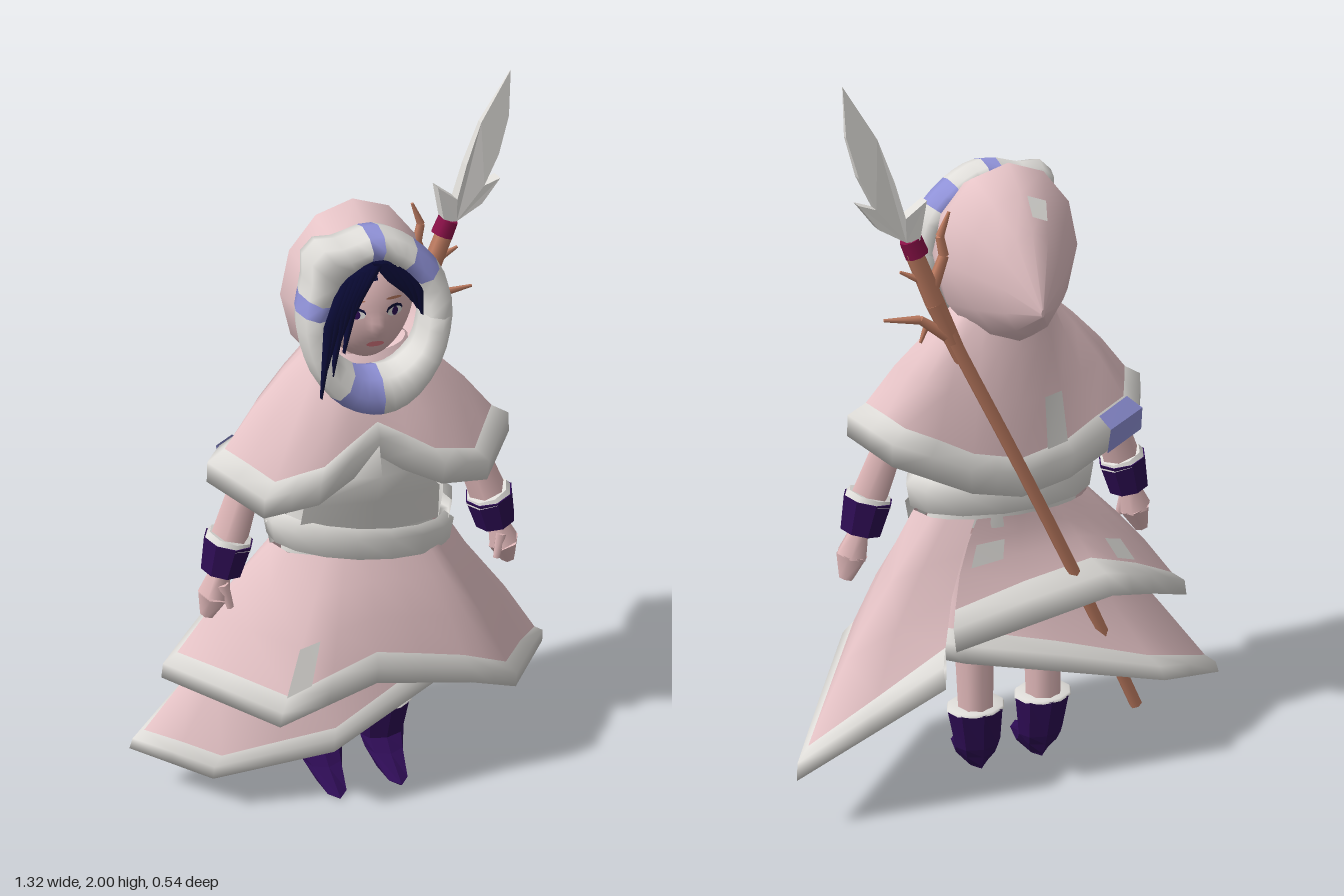
import * as THREE from 'three';

const V = (x, y, z) => new THREE.Vector3(x, y, z);
const mat = (name, color, flatShading = false) => {
  const m = new THREE.MeshStandardMaterial({ color, side: THREE.DoubleSide, flatShading });
  m.name = name;
  return m;
};

export function createModel() {
  const pink = mat('pink cloth', 0xe5c3c6), white = mat('white fur', 0xdfddd9);
  const blue = mat('blue patch', 0x9092d8), skin = mat('skin', 0xdfb7b8);
  const navy = mat('navy hair', 0x0a0b36), purple = mat('purple leather', 0x2d0c53, true);
  const wood = mat('wood', 0xc07d62), magenta = mat('magenta binding', 0x8a1148);
  const lip = mat('lips', 0xb8636b);
  const model = new THREE.Group();
  model.name = 'hoodedTraveller';

  const add = (name, geo, m, parent = model) => {
    const mesh = new THREE.Mesh(geo, m);
    mesh.name = name;
    parent.add(mesh);
    return mesh;
  };
  // Surface through rows of points
  const loft = (rows, closed = false) => {
    const n = rows[0].length, pos = [], idx = [];
    rows.forEach(r => r.forEach(p => pos.push(p.x, p.y, p.z)));
    for (let j = 0; j < rows.length - 1; j++)
      for (let i = 0; i < (closed ? n : n - 1); i++) {
        const a = j * n + i, b = j * n + (i + 1) % n;
        idx.push(a, a + n, b, b, a + n, b + n);
      }
    const g = new THREE.BufferGeometry();
    g.setAttribute('position', new THREE.Float32BufferAttribute(pos, 3));
    g.setIndex(idx);
    g.computeVertexNormals();
    return g;
  };
  const ring = (y, rx, rz, cx = 0, cz = 0, n = 10) => Array.from({ length: n }, (_, i) => {
    const a = i / n * Math.PI * 2;
    return V(cx + rx * Math.cos(a), y, cz + rz * Math.sin(a));
  });
  const limb = (name, a, b, ra, rb, m, sides = 6, parent = model) => {
    const d = b.clone().sub(a);
    const mesh = add(name, new THREE.CylinderGeometry(rb, ra, d.length(), sides), m, parent);
    mesh.position.copy(a).addScaledVector(d, 0.5);
    mesh.quaternion.setFromUnitVectors(V(0, 1, 0), d.normalize());
  };
  // Thin cloth patch inside one cell of a surface
  const patch = (name, rows, j, i, m, u0 = 0.1, u1 = 0.9, v0 = 0.1, v1 = 0.9) => {
    const n = rows[0].length;
    const at = (u, v) => {
      const p = rows[j][i].clone().lerp(rows[j][(i + 1) % n], u)
        .lerp(rows[j + 1][i].clone().lerp(rows[j + 1][(i + 1) % n], u), v);
      return p.addScaledVector(V(p.x, 0, p.z).normalize(), 0.009);
    };
    add(name, loft([[at(u0, v0), at(u1, v0)], [at(u0, v1), at(u1, v1)]]), m);
  };
  // Draped garment from an oval top edge down to a free hem, with a padded border
  const drape = (name, hem, top, closed, trimLen, pad, front, back) => {
    const H = [];
    hem.forEach((p, i) => {
      const a = V(...p), next = hem[i + 1] || (closed ? hem[0] : null);
      H.push(a);
      if (next) H.push(a.clone().lerp(V(...next), 0.5));
    });
    const W = H.map(h => {
      const a = Math.atan2(h.z / top.rz, h.x / top.rx);
      return V(top.rx * Math.cos(a), top.y, top.z + top.rz * Math.sin(a));
    });
    const at = (i, t) => {
      const p = W[i].clone().lerp(H[i], t), k = t * (1 - t);
      return V(p.x * (1 + k * front * 0.3), p.y + k * front * 0.1, p.z * (1 + k * (p.z > 0 ? front : back)));
    };
    const start = i => 1 - trimLen / W[i].distanceTo(H[i]);
    const rows = [0, 0.3, 0.65, 1].map(t => H.map((_, i) => at(i, t * start(i))));
    add(name, loft(rows, closed), pink);
    const out = (i, s) => {
      const p = at(i, (1 + start(i)) / 2);
      return p.addScaledVector(V(p.x * 0.6, 0.15, p.z).normalize(), s * pad);
    };
    const t = [H.map((_, i) => at(i, start(i))), H.map((_, i) => out(i, 1)), H, H.map((_, i) => out(i, -1))];
    add(name + 'Trim', loft([...t, t[0]], closed), white);
    return { rows, t };
  };

  // Layered skirts
  const over = drape('overSkirt', [[0.26, 0.4, -0.245], [0.655, 0.17, -0.17], [0.4, 0.32, 0.21], [0.25, 0.39, 0.24],
    [-0.03, 0.46, 0.25], [-0.31, 0.39, 0.265], [-0.565, 0.42, -0.02], [-0.4, 0.51, -0.14], [-0.23, 0.575, -0.225],
    [0.22, 0.49, -0.22]], { y: 0.81, rx: 0.25, rz: 0.13, z: 0.01 }, false, 0.092, 0.018, 0.45, -0.95);
  drape('underSkirt', [[0.38, 0.37, 0.08], [0.2, 0.37, 0.16], [-0.13, 0.2, 0.18], [-0.46, 0.13, 0.1],
    [-0.66, 0.17, -0.06], [-0.39, 0.29, -0.24], [0.2, 0.46, -0.235], [0.32, 0.45, -0.1]],
    { y: 0.76, rx: 0.21, rz: 0.1, z: 0 }, false, 0.075, 0.012, 0.1, -0.9);
  patch('skirtPatch', over.rows, 2, 9, white, 0.45, 1, 0, 1);
  patch('skirtPatch', over.rows, 1, 17, white, 0.3, 0.8);
  patch('skirtPatch', over.rows, 2, 14, white);

  // Torso, front panel and crossed belt
  add('torso', loft([ring(0.78, 0.22, 0.12), ring(0.95, 0.19, 0.12), ring(1.1, 0.19, 0.12), ring(1.25, 0.1, 0.08)], true), white);
  const panel = (y, z, w) => [V(-w, y - 0.01, z - 0.045), V(0, y, z), V(w, y - 0.01, z - 0.045)];
  add('frontPanel', loft([panel(1.185, 0.165, 0.004), panel(1.07, 0.198, 0.12), panel(0.98, 0.165, 0.19), panel(0.86, 0.135, 0.2)]), white);
  const belt = (a0, a1, cy) => {
    const row = (dy, k) => Array.from({ length: 9 }, (_, i) => {
      const a = a0 + (a1 - a0) * i / 8, x = 0.255 * Math.cos(a);
      return V(x * k, cy(x) + dy, (0.145 * Math.sin(a)) * k + 0.015);
    });
    const r = [row(0.045, 0.95), row(0.02, 1.06), row(-0.045, 1.02), row(-0.045, 0.9)];
    add('belt', loft([...r, r[0]]), white);
  };
  belt(0.3, Math.PI + 0.1, x => 0.842 - 0.17 * x);
  belt(Math.PI - 0.1, Math.PI * 2 + 0.45, () => 0.87);

  // Shoulder cape
  const half = [[0.17, 1.015, 0.19], [0.31, 0.985, 0.16], [0.425, 1.045, 0.03], [0.35, 1.0, -0.11], [0.14, 0.9, -0.135]];
  const cape = drape('cape', [[0, 1.1, 0.16], ...half, [0, 0.87, -0.14],
    ...half.slice().reverse().map(([x, y, z]) => [-x, y, z])],
    { y: 1.38, rx: 0.13, rz: 0.1, z: -0.01 }, true, 0.1, 0.025, 0.7, 0.2);
  patch('capePatch', cape.rows, 2, 13, white, 0, 0.9, 0, 1);
  patch('capeTrimPatch', cape.t, 0, 15, blue, 0, 1, 0, 1);
  patch('capeTrimPatch', cape.t, 1, 15, blue, 0, 1, 0, 1);

  // Pointed hood: [z, half width, bottom, top]
  const hood = [[0.1, 0.16, 1.31, 1.69], [-0.04, 0.195, 1.28, 1.75], [-0.12, 0.14, 1.3, 1.69],
    [-0.2, 0.085, 1.34, 1.61], [-0.27, 0.004, 1.41, 1.43]].map(([z, rx, b, t]) => Array.from({ length: 12 }, (_, i) => {
    const a = i / 12 * Math.PI * 2;
    return V(rx * Math.cos(a), (b + t) / 2 + (t - b) / 2 * Math.sin(a), z);
  }));
  add('hood', loft(hood, true), pink);
  patch('hoodPatch', hood, 2, 3, white, 0.2, 0.9, 0, 0.55);

  // Fur ring around the face, raised into a tuft at one side and deeper under the chin
  const SEG = 32;
  const furRow = i => {
    const a = i / SEG * Math.PI * 2, c = Math.cos(a), s = Math.sin(a);
    const low = Math.max(0, -s - 0.5), tuft = Math.exp(-(((a - 2.3) / 0.22) ** 2));
    return Array.from({ length: 8 }, (_, j) => {
      const b = j / 8 * Math.PI * 2, cb = Math.cos(b);
      const r = cb * (0.041 + 0.05 * low + 0.012 * tuft) + 0.04 * tuft * (cb > 0 ? 1 : 0.4) + 0.004 * Math.sin(a * 5);
      const y = 1.495 + (0.192 + r) * s;
      return V((0.163 + r) * c * (1 - 0.45 * low), y, 0.1 + (1.7 - y) * 0.13 + 0.07 * Math.sin(b));
    });
  };
  const runs = [[0, 3, 0], [3, 5, 1], [5, 7.5, 0], [7.5, 8.5, 1], [8.5, 14, 0], [14, 15, 1], [15, 20.5, 0], [20.5, 24, 1], [24, 32, 0]];
  runs.forEach(([a, b, c]) => {
    const rows = [], n = Math.ceil(b - a);
    for (let k = 0; k <= n; k++) rows.push(furRow(a + (b - a) * k / n));
    add('hoodTrim', loft(rows, true), c ? blue : white);
  });

  // Face with a tapered chin and a small raised nose
  const faceZ = (x, y) => 0.05 + 0.11 * Math.sqrt(Math.max(0, 1 - (x / 0.125) ** 2 - ((y - 1.51) / 0.15) ** 2));
  const face = new THREE.SphereGeometry(1, 44, 30).scale(0.125, 0.15, 0.11);
  const fp = face.attributes.position;
  for (let i = 0; i < fp.count; i++) {
    const x = fp.getX(i), y = fp.getY(i), z = fp.getZ(i);
    if (y < 0) fp.setX(i, x * (1 + y * 1.2));
    if (z > 0) fp.setZ(i, z + 0.016 * Math.exp(-((x / 0.014) ** 2) - ((y + 0.032) / 0.025) ** 2));
  }
  face.translate(0, 1.51, 0.05);
  face.computeVertexNormals();
  add('face', face, skin);
  limb('neck', V(0, 1.25, 0), V(0, 1.42, 0.03), 0.055, 0.05, skin, 8);
  const mark = (name, x, y, w, h, m, lift, tilt = 0) => {
    const p = add(name, new THREE.CircleGeometry(1, 10), m);
    p.scale.set(w, h, 1);
    p.position.set(x, y, faceZ(x, y) + lift);
    p.rotation.set(0, x * 8, tilt);
  };
  [-1, 1].forEach(s => {
    const x = s * 0.05 - 0.006;
    mark('eyeLash', x, 1.525, 0.026, 0.015, navy, 0.003);
    mark('eyeWhite', x, 1.521, 0.024, 0.012, white, 0.005);
    mark('iris', x, 1.522, 0.01, 0.012, purple, 0.007);
    mark('eyebrow', x, 1.555, 0.026, 0.004, wood, 0.005, s * -0.1);
  });
  mark('mouth', -0.004, 1.432, 0.024, 0.007, lip, 0.004);

  // Hair: scalp and parted locks, the long side falling over the fur
  add('scalp', new THREE.SphereGeometry(1, 16, 8, 0, Math.PI * 2, 0, 0.95).scale(0.135, 0.155, 0.115).translate(0, 1.51, 0.045), navy);
  const lock = (root, mid, tip, w) => {
    const e = [[root, w], [mid, w * 0.85], [tip, 0.003]];
    add('hairLock', loft(e.map(([p, k]) => [V(p[0] - k, p[1], p[2]), V(p[0], p[1], p[2] + 0.012), V(p[0] + k, p[1] - k * 0.3, p[2])])), navy);
  };
  for (let i = 0; i < 6; i++) {
    const f = i / 5;
    lock([-0.005 - f * 0.075, 1.65 - f * 0.03, 0.15], [-0.055 - f * 0.085, 1.58 - f * 0.06, 0.17 + f * 0.025],
      [-0.085 - f * 0.085, 1.52 - f * 0.13 - (i % 2) * 0.05, 0.185 + f * 0.03], 0.018);
  }
  for (let i = 0; i < 4; i++)
    lock([0.01 + i * 0.02, 1.65 - i * 0.007, 0.14], [0.045 + i * 0.02, 1.6 - i * 0.008, 0.15], [0.085 + i * 0.012, 1.55 - i * 0.018, 0.145], 0.021);

  // Arms, cuffs, hands, legs and boots
  [-1, 1].forEach(s => {
    const P = (x, y, z) => V(s * x, y, z);
    const arm = new THREE.Group();
    arm.name = s > 0 ? 'leftArm' : 'rightArm';
    model.add(arm);
    limb('sleeve', P(0.26, 1.16, 0), P(0.375, 0.85, 0.03), 0.036, 0.054, skin, 6, arm);
    limb('cuffFur', P(0.366, 0.872, 0.03), P(0.372, 0.855, 0.03), 0.06, 0.068, white, 8, arm);
    limb('cuff', P(0.372, 0.862, 0.03), P(0.395, 0.77, 0.03), 0.069, 0.058, purple, 8, arm);
    limb('palm', P(0.395, 0.78, 0.03), P(0.42, 0.7, 0.035), 0.025, 0.045, skin, 6, arm);
    limb('fingers', P(0.42, 0.7, 0.035), P(0.44, 0.635, 0.03), 0.045, 0.02, skin, 6, arm);
    limb('thumb', P(0.4, 0.74, 0.06), P(0.385, 0.67, 0.07), 0.016, 0.01, skin, 5, arm);

    const cx = s > 0 ? 0.09 : -0.115;
    const leg = new THREE.Group();
    leg.name = s > 0 ? 'leftLeg' : 'rightLeg';
    model.add(leg);
    limb('shin', V(cx, 0.78, 0), V(cx, 0.18, -0.025), 0.07, 0.052, skin, 8, leg);
    // Boot sections: height, back, front, half width
    const boot = [[0.2, -0.09, 0.045, 0.084], [0.08, -0.07, 0.02, 0.068], [0.05, -0.062, 0.06, 0.06],
      [0.012, -0.05, 0.16, 0.04], [0.004, -0.045, 0.15, 0.03], [0.004, 0, 0.01, 0.002]]
      .map(([y, b, f, w]) => ring(y, w, (f - b) / 2, cx - s * (0.2 - y) * 0.05, (f + b) / 2, 8));
    add('boot', loft(boot, true), purple, leg);
    add('bootFur', loft([ring(0.197, 0.086, 0.07, cx, -0.022), ring(0.205, 0.082, 0.066, cx, -0.022), ring(0.208, 0.045, 0.045, cx, -0.022)], true), white, leg);
  });

  // Wooden spear slung across the back
  const spear = new THREE.Group();
  spear.name = 'spear';
  model.add(spear);
  const path = new THREE.CatmullRomCurve3([V(-0.345, 0.18, -0.155), V(-0.15, 0.62, -0.16), V(0.03, 1.0, -0.16), V(0.19, 1.33, -0.15), V(0.255, 1.48, -0.145), V(0.295, 1.58, -0.145)]);
  add('shaft', new THREE.TubeGeometry(path, 24, 0.018, 6), wood, spear);
  [[[0.17, 1.28], [0.24, 1.44], 0.02, 0.026], [[0.24, 1.44], [0.295, 1.58], 0.026, 0.024],
    [[0.25, 1.47], [0.215, 1.56], 0.018, 0.013], [[0.215, 1.56], [0.225, 1.61], 0.013, 0.011], [[0.225, 1.61], [0.2, 1.67], 0.011, 0.004],
    [[0.21, 1.35], [0.28, 1.4], 0.018, 0.012], [[0.28, 1.4], [0.375, 1.41], 0.012, 0.004], [[0.26, 1.39], [0.28, 1.34], 0.009, 0.004],
    [[0.27, 1.5], [0.33, 1.53], 0.012, 0.004]].forEach(([a, b, ra, rb]) =>
    limb('branch', V(...a, -0.145), V(...b, -0.145), ra, rb, wood, 6, spear));
  limb('binding', V(0.285, 1.57, -0.145), V(0.302, 1.612, -0.145), 0.031, 0.029, magenta, 8, spear);
  // Blade, thinning toward its tip
  const s = new THREE.Shape([[0.285, 1.61], [0.265, 1.71], [0.32, 1.67], [0.345, 1.76], [0.385, 1.87], [0.465, 2],
    [0.462, 1.88], [0.435, 1.78], [0.395, 1.7], [0.44, 1.715], [0.39, 1.65], [0.32, 1.61]].map(p => new THREE.Vector2(...p)));
  const blade = new THREE.ExtrudeGeometry(s, { depth: 1, bevelEnabled: false });
  const bp = blade.attributes.position;
  for (let i = 0; i < bp.count; i++)
    bp.setZ(i, -0.148 + (bp.getZ(i) - 0.5) * (0.003 + 0.037 * Math.min(1, (2 - bp.getY(i)) / 0.3)));
  blade.computeVertexNormals();
  add('blade', blade, white, spear);

  return model;
}
